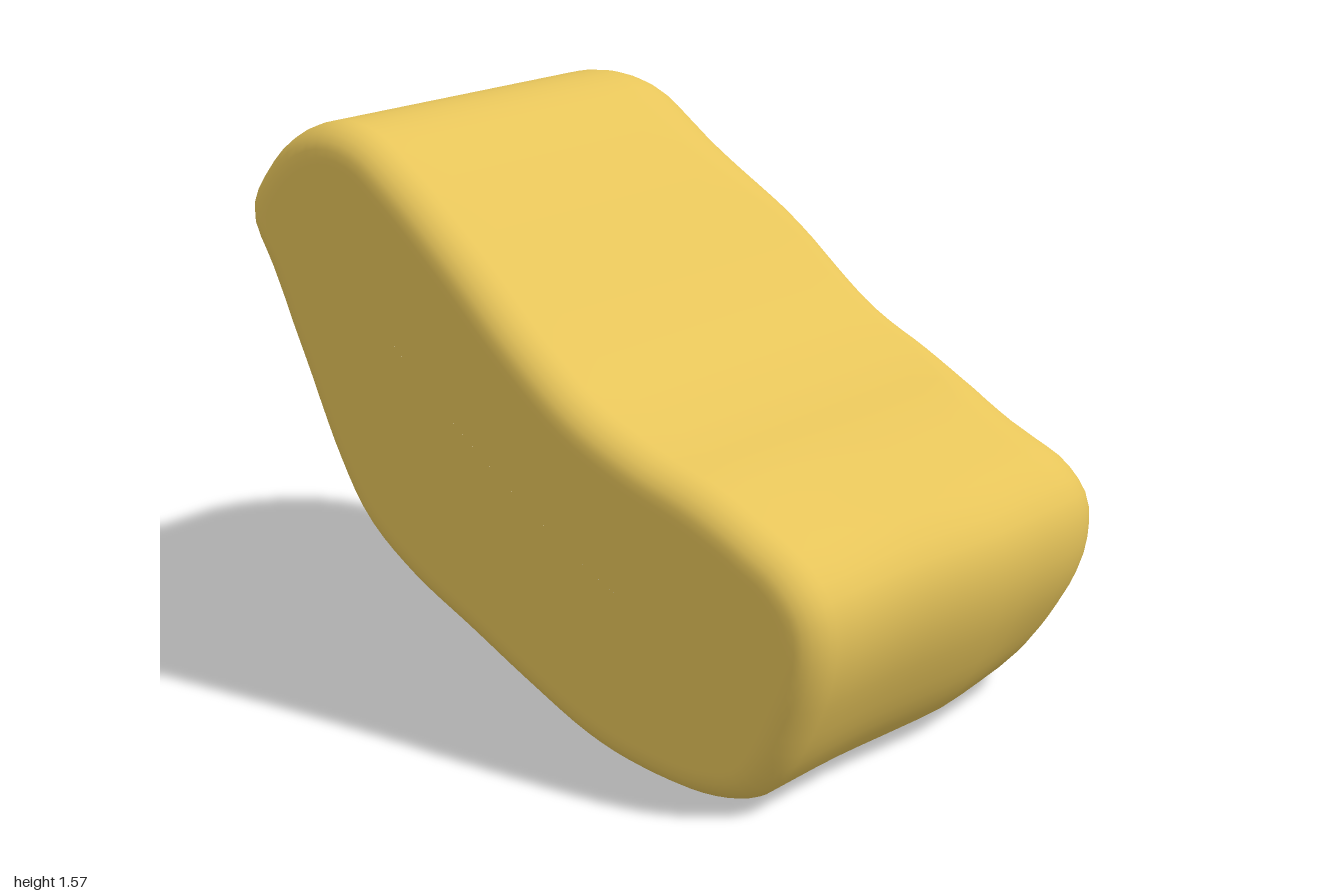
import * as THREE from 'three';

// Side profile (z, y): front nose, seat, top, back, underside
const PROFILE = [
  [1, 0.5], [0.98, 0.59], [0.9, 0.68], [0.78, 0.74], [0.6, 0.81], [0.4, 0.87], [0.2, 0.96],
  [0, 1.11], [-0.2, 1.29], [-0.42, 1.47], [-0.55, 1.55], [-0.68, 1.57], [-0.81, 1.53],
  [-0.92, 1.44], [-0.995, 1.31], [-0.93, 1.15], [-0.8, 0.88], [-0.68, 0.63], [-0.58, 0.48],
  [-0.42, 0.36], [-0.2, 0.25], [0, 0.15], [0.2, 0.06], [0.35, 0.02], [0.6, 0],
  [0.78, 0.04], [0.87, 0.13], [0.95, 0.28], [0.99, 0.4],
];
// Gently bent middle line of the slab (z, y)
const SPINE = new THREE.QuadraticBezierCurve(
  new THREE.Vector2(0.63, 0.39), new THREE.Vector2(0.08, 0.54), new THREE.Vector2(-0.63, 1.2),
).getSpacedPoints(240);
const KNEE = new THREE.Vector2(-0.53, 0.44);
const CHIN = new THREE.Vector2(0.72, 0.02);
const SEGMENTS = 112;
const { smoothstep, lerp } = THREE.MathUtils;

// Closest middle-line point, plus soft weights for the two tips, the knee and the chin
function outlinePoint(p) {
  let index = 0;
  SPINE.forEach((s, i) => { if (s.distanceTo(p) < SPINE[index].distanceTo(p)) index = i; });
  const point = SPINE[index];
  const toEnd = Math.min(index, SPINE.length - 1 - index) / (SPINE.length - 1);
  return {
    p, point,
    dist: point.distanceTo(p),
    tip: 1 - smoothstep(toEnd, 0, 0.36),
    knee: 1 - smoothstep(p.distanceTo(KNEE), 0, 0.65),
    chin: 1 - smoothstep(p.distanceTo(CHIN), 0.1, 0.5),
  };
}

function cushionGeometry() {
  const curve = new THREE.CatmullRomCurve3(PROFILE.map(([z, y]) => new THREE.Vector3(0, y, z)), true);
  const outline = curve.getSpacedPoints(SEGMENTS).slice(0, SEGMENTS)
    .map(v => outlinePoint(new THREE.Vector2(v.z, v.y)));
  const positions = [], indices = [];
  let rings = 0;
  // One cross-section: x and inward shift are chosen for every outline point
  const addRing = place => {
    for (const o of outline) {
      const { x, inset } = place(o);
      // knee and chin grow shallower towards the soft end
      const shallow = 0.08 * o.knee * smoothstep(x, -0.65, 0.6) + 0.035 * o.chin * smoothstep(x, 0, 0.6);
      const q = o.p.clone().lerp(o.point, Math.min((inset + shallow) / o.dist, 1));
      // the nose recedes slightly towards the flat end
      const recede = 0.045 * smoothstep(o.p.x, 0.5, 0.95) * (1 - smoothstep(x, -0.4, 0.1));
      positions.push(x, q.y, q.x - recede);
    }
    rings++;
  };
  const softDepth = o => 0.16 + 0.18 * o.tip + 0.1 * o.knee;

  // Flat end with a tight rounded edge
  addRing(o => ({ x: -0.71, inset: o.dist }));
  addRing(() => ({ x: -0.71, inset: 0.1 }));
  for (let k = 0; k <= 6; k++) {
    const a = k / 6 * Math.PI / 2;
    addRing(() => ({ x: -0.71 + 0.1 * (1 - Math.cos(a)), inset: 0.085 * (1 - Math.sin(a)) }));
  }
  // Straight middle
  for (let k = 1; k < 10; k++) {
    addRing(o => ({ x: lerp(-0.61, 0.7 - softDepth(o), k / 10), inset: 0 }));
  }
  // Soft end, rounded more widely at the nose and the top
  for (let k = 0; k <= 12; k++) {
    const a = k / 12 * Math.PI / 2;
    addRing(o => ({
      x: 0.7 - softDepth(o) * (1 - Math.sin(a)),
      inset: (0.16 + 0.12 * o.tip) * (1 - Math.cos(a)),
    }));
  }
  addRing(o => ({ x: 0.7, inset: o.dist }));

  for (let j = 0; j < rings - 1; j++) {
    for (let i = 0; i < SEGMENTS; i++) {
      const n = (i + 1) % SEGMENTS;
      const a = j * SEGMENTS + i, b = a + SEGMENTS, c = j * SEGMENTS + n, d = c + SEGMENTS;
      indices.push(a, b, c, b, d, c);
    }
  }
  const geometry = new THREE.BufferGeometry();
  geometry.setAttribute('position', new THREE.Float32BufferAttribute(positions, 3));
  geometry.setIndex(indices);
  geometry.computeVertexNormals();
  return geometry;
}

export function createModel() {
  const group = new THREE.Group();
  group.name = 'bentCushion';
  const body = new THREE.Mesh(cushionGeometry(), new THREE.MeshStandardMaterial({ color: 0xe6c45a }));
  body.name = 'cushionBody';
  group.add(body);
  return group;
}
